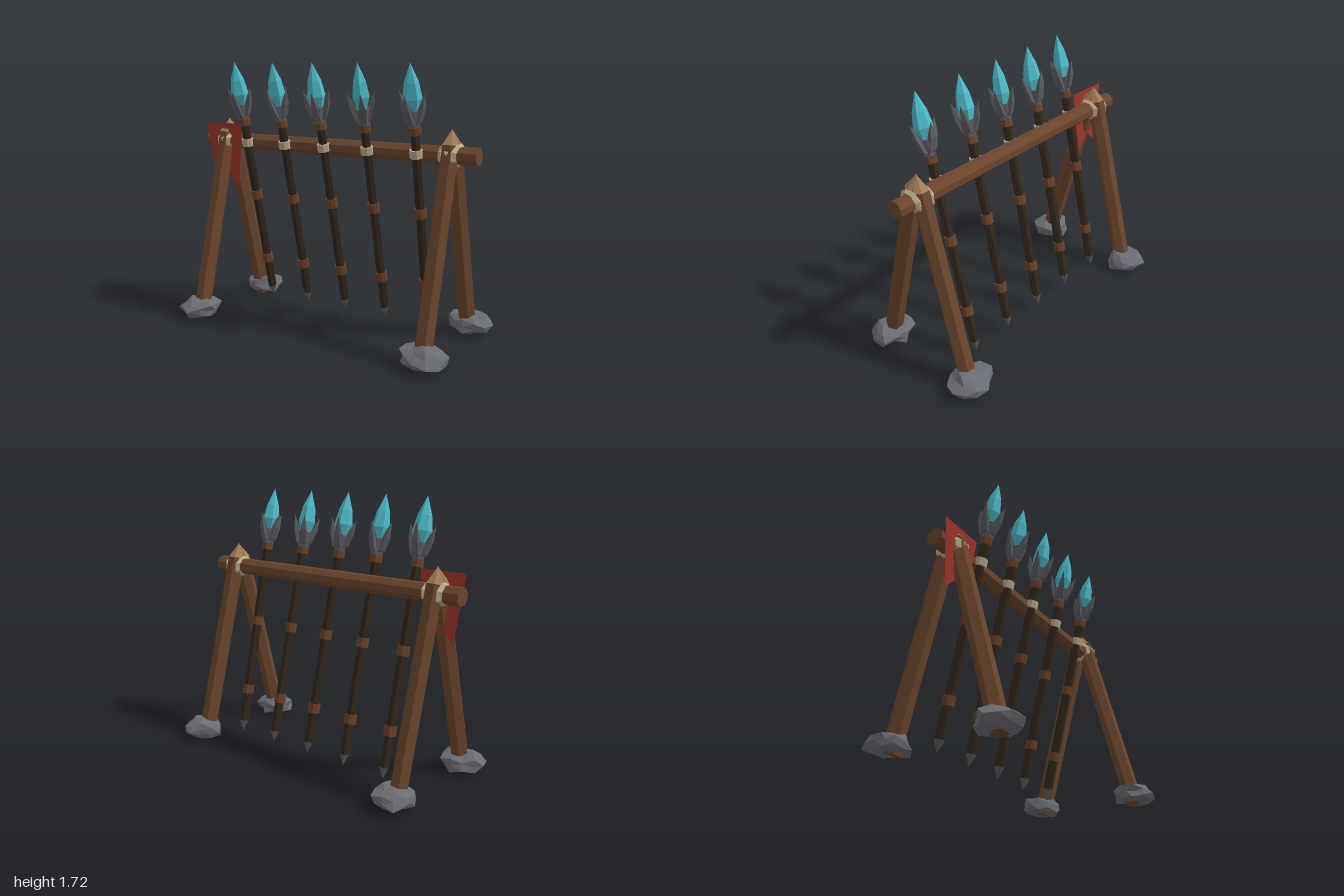
import * as THREE from 'three';

const mat = (name, color) => {
  const m = new THREE.MeshStandardMaterial({ color, flatShading: true });
  m.name = name;
  return m;
};

export function createModel() {
  const wood = mat('wood', 0x6b452b);
  const cutWood = mat('cutWood', 0xa47c56);
  const shaftWood = mat('shaftWood', 0x30261b);
  const leather = mat('leather', 0x6a4026);
  const rope = mat('rope', 0xb8a988);
  const metal = mat('metal', 0x5a5b60);
  const stone = mat('stone', 0x6b6d74);
  const crystal = mat('crystal', 0x4dbaca);
  const cloth = mat('cloth', 0x9c3328);
  cloth.side = THREE.DoubleSide;

  const model = new THREE.Group();
  model.name = 'spearRack';

  const add = (parent, name, geometry, material, x = 0, y = 0, z = 0) => {
    const mesh = new THREE.Mesh(geometry, material);
    mesh.name = name;
    mesh.position.set(x, y, z);
    parent.add(mesh);
    return mesh;
  };

  // Upright prism between two heights, with a corner pointing along x
  const prism = (rBottom, rTop, y0, y1, sides = 6) =>
    new THREE.CylinderGeometry(rTop, rBottom, y1 - y0, sides)
      .rotateY(Math.PI / 6).translate(0, (y0 + y1) / 2, 0);

  // Repeatable 0..1 value from a position and a seed
  const hash = (x, y, z, seed) => {
    const s = Math.sin(Math.round(x * 50) * 12.99 + Math.round(y * 50) * 78.23
      + Math.round(z * 50) * 37.72 + seed * 4.1) * 43758.55;
    return s - Math.floor(s);
  };

  // Move every vertex by a small repeatable amount, as a factor of its radius
  const roughen = (geometry, amount, seed) => {
    const p = geometry.attributes.position;
    for (let i = 0; i < p.count; i++) {
      const [x, y, z] = [p.getX(i), p.getY(i), p.getZ(i)];
      const k = 1 + amount * (hash(x, y, z, seed) - 0.5);
      p.setXYZ(i, x * k, y * k, z * k);
    }
    return geometry;
  };

  // Crossbeam
  const beamGeo = new THREE.CylinderGeometry(0.056, 0.056, 2, 8).rotateY(Math.PI / 8).rotateZ(Math.PI / 2);
  add(model, 'crossbeam', beamGeo, wood, 0, 1.187, 0.01);

  // Foot stone: flattened rough ball with a flat underside
  const rockGeo = (seed) => {
    const g = roughen(new THREE.IcosahedronGeometry(1, 1), 0.4, seed);
    const p = g.attributes.position;
    for (let i = 0; i < p.count; i++) p.setY(i, Math.max(p.getY(i), -0.65));
    g.scale(0.137, 0.073, 0.128);
    g.computeVertexNormals();
    return g;
  };

  // Two A-frames: crossed legs, pointed tops, stones and lashings
  [-1, 1].forEach((side) => {
    const frame = new THREE.Group();
    frame.name = side < 0 ? 'rightFrame' : 'leftFrame';
    frame.position.x = side * 0.83;
    model.add(frame);

    [-1, 1].forEach((dir) => {
      const leg = new THREE.Group();
      leg.name = dir > 0 ? 'frontLeg' : 'backLeg';
      leg.position.set(0, 0.014, 0.012 + dir * 0.35);
      leg.rotation.x = -dir * 0.26;
      frame.add(leg);
      add(leg, 'legPost', prism(0.057, 0.057, 0, 1.27), wood);
      add(leg, 'legPoint', prism(0.057, 0, 1.27, 1.375), cutWood);
      add(frame, 'footStone', rockGeo(side * 3 + dir + 7), stone, 0, 0.068, dir * 0.355);
    });

    // Rope rings around the joint, tilted against each other
    [[-0.042, 0.1, 0.05], [0.042, -0.1, -0.08], [0, 0.55, 0.15], [0, -0.55, -0.15],
      [0, 0.1, 0.5], [0, -0.1, -0.5]].forEach(([x, ry, rz], i) => {
      const g = new THREE.TorusGeometry(0.067, 0.021, 4, 8).rotateZ(Math.PI / 8).rotateY(Math.PI / 2);
      g.scale(1, 0.85, 1.02);
      const ring = add(frame, 'lashing', roughen(g, 0.12, i + side), rope, x, 1.187, 0.017);
      ring.rotation.set(0, ry, rz);
    });
  });

  // Swallow-tailed banner hanging over the front of the beam
  const banner = new THREE.Shape([
    [-0.985, 1.31], [-0.93, 0.89], [-0.83, 0.98], [-0.735, 0.87], [-0.675, 1.31],
  ].map(([x, y]) => new THREE.Vector2(x, y)));
  const bannerGeo = new THREE.ShapeGeometry(banner);
  const bp = bannerGeo.attributes.position;
  for (let i = 0; i < bp.count; i++) bp.setZ(i, 0.07 - (1.31 - bp.getY(i)) * 0.06);
  bannerGeo.computeVertexNormals();
  add(model, 'banner', bannerGeo, cloth);

  // Prong: curved blade outline in the radial plane, narrowing to its tip
  const prongShape = new THREE.Shape([
    [0.02, 1.34], [0.047, 1.36], [0.075, 1.44], [0.087, 1.535], [0.058, 1.48], [0.035, 1.42],
  ].map(([x, y]) => new THREE.Vector2(x, y)));
  const prongGeo = new THREE.ExtrudeGeometry(prongShape, { depth: 0.044, bevelEnabled: false }).translate(0, 0, -0.022);
  const pp = prongGeo.attributes.position;
  for (let i = 0; i < pp.count; i++) {
    pp.setZ(i, pp.getZ(i) * Math.min(1, Math.max(0.08, (1.54 - pp.getY(i)) / 0.12)));
  }
  prongGeo.computeVertexNormals();

  const crystalGeo = new THREE.LatheGeometry([
    [0, 1.4], [0.028, 1.41], [0.058, 1.5], [0.043, 1.595], [0, 1.71],
  ].map(([x, y]) => new THREE.Vector2(x, y)), 6);

  // Leaning spears: x of the butt, sideways tilt, spin about the shaft
  [[-0.62, 0.006, 0.1], [-0.31, 0.009, -0.15], [-0.003, 0.013, 0.25], [0.305, 0.006, 0.5], [0.612, -0.016, -0.1]]
    .forEach(([x, tilt, spin]) => {
      const spear = new THREE.Group();
      spear.name = 'spear';
      spear.position.set(x, 0.055, -0.192);
      spear.rotation.set(0.2266, 0, tilt);
      model.add(spear);
      add(spear, 'buttSpike', prism(0, 0.032, 0, 0.075), metal);
      add(spear, 'shaft', prism(0.031, 0.029, 0.075, 1.34), shaftWood);
      [[0.27, 0.33, 0.039], [0.755, 0.815, 0.039], [1.285, 1.33, 0.039]].forEach(([y0, y1, r]) =>
        add(spear, 'grip', prism(r, r, y0, y1, 8), leather));
      add(spear, 'spearLashing', prism(0.041, 0.041, 1.14, 1.19, 8), rope);

      const head = new THREE.Group();
      head.name = 'spearHead';
      head.rotation.y = spin;
      spear.add(head);
      add(head, 'socket', prism(0.036, 0.05, 1.325, 1.43), metal);
      for (let i = 0; i < 4; i++) {
        add(head, 'prong', prongGeo, metal).rotation.y = (i * Math.PI) / 2;
      }
      add(head, 'crystalPoint', crystalGeo, crystal);
    });

  return model;
}
